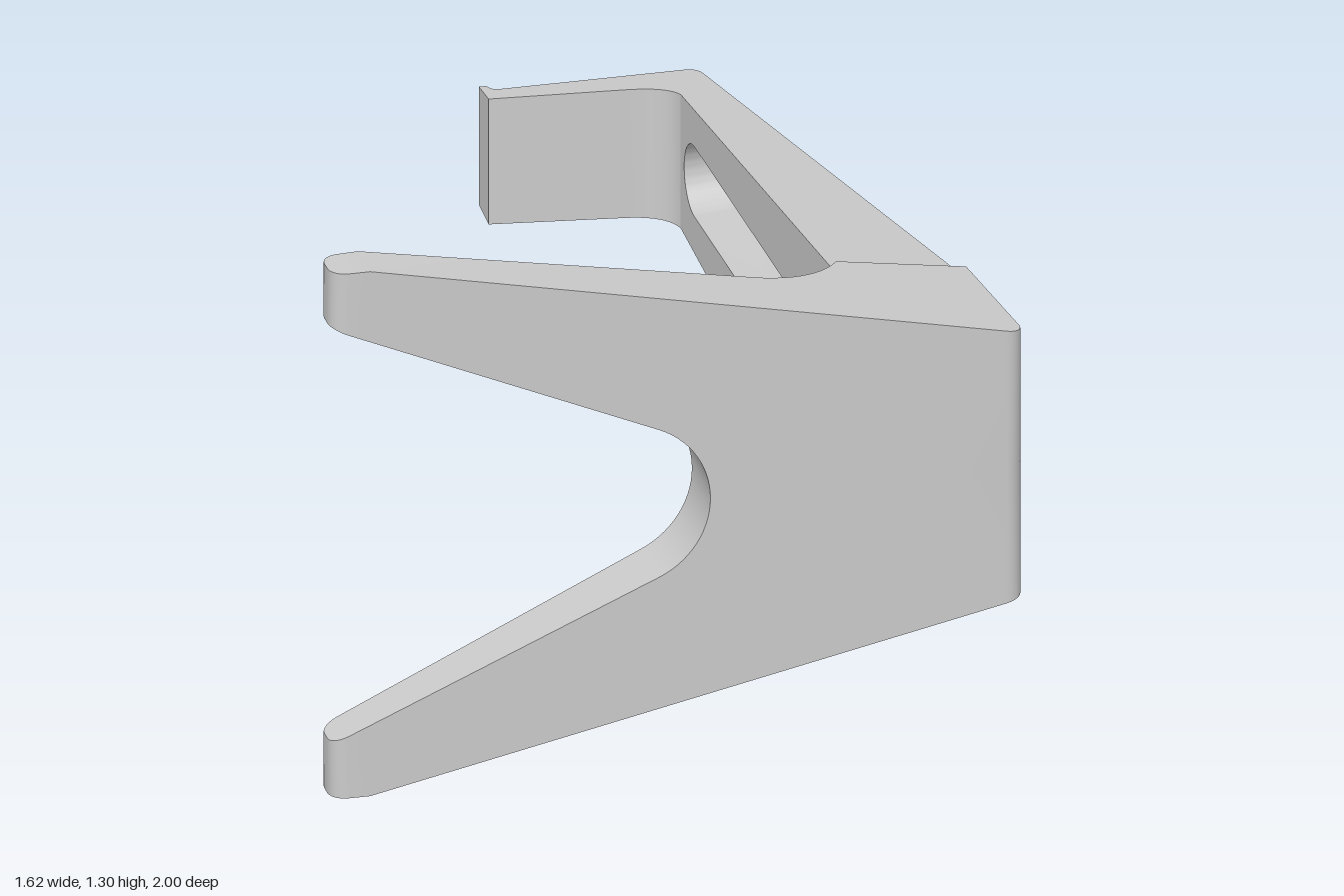
import * as THREE from 'three';
import { toCreasedNormals } from 'three/addons/utils/BufferGeometryUtils.js';

const MID = 0.6525; // height of the horizontal symmetry plane
const { sqrt, sin, cos, PI, max } = Math;

// Arm surfaces as functions of z
const outerX = z => 0.765 - (0.635 - z) * 0.139;
const innerX = z => 0.493 - (0.53 - z) * 0.0229;
const armHalf = z => 0.3105 - (0.635 - z) * 0.1;

// Fork plate limits as functions of x
const R = 0.04, X0 = -0.81, X1 = 0.808;
const round = d => R - sqrt(max(0, R * R - d * d)); // setback of a rounded corner
const endRound = x => x < X0 + R ? round(X0 + R - x) : 0;
const frontZ = x => 1 - endRound(x) - (x > X1 - R ? round(x - X1 + R) : 0);
const FILLET = { x: 0.2, z: 0.53, r: 0.29 };
function backZ(x) {
  if (x <= FILLET.x) return 0.888 - (x + 0.77) * 0.07 + endRound(x);
  if (x <= 0.45) return FILLET.z + sqrt(FILLET.r ** 2 - (x - FILLET.x) ** 2);
  if (x <= 0.765) return 0.677 - (x - 0.45) * 0.133;
  return 0.635 + (x - 0.765) * (0.96 - 0.635) / (X1 - 0.765);
}
const plateHalf = x => 0.6525 - max(0, x + 0.72) * 0.211;

// Notch: straight legs that run into a round throat
const NOTCH = { x: -0.125, r: 0.2, a: 0.41 };
const throatX = NOTCH.x + NOTCH.r;
const tangentX = NOTCH.x + NOTCH.r * sin(NOTCH.a);
function notchHalf(x) {
  if (x >= throatX - 1e-6) return 0;
  if (x > tangentX) return sqrt(NOTCH.r ** 2 - (x - NOTCH.x) ** 2);
  return NOTCH.r * cos(NOTCH.a) + (tangentX - x) * 0.435;
}

function forkPlateGeometry() {
  const xs = [-0.72, FILLET.x, 0.45, 0.765];
  for (let i = 0; i <= 6; i++) {
    const c = R * (1 - cos(i / 6 * PI / 2));
    xs.push(X0 + c, X1 - c);
  }
  for (let i = 0; i <= 14; i++) {
    xs.push(NOTCH.x + NOTCH.r * sin(NOTCH.a + (PI / 2 - NOTCH.a) * i / 14));
  }
  for (let i = 1; i < 12; i++) {
    xs.push(FILLET.x + FILLET.r * sin(i / 12 * 1.039));
  }
  xs.sort((a, b) => a - b);
  const pos = [];
  for (const s of [1, -1]) {
    // Four-cornered section at each x, for the upper then the lower half
    const rings = xs.map(x => {
      const lo = MID + s * notchHalf(x), hi = MID + s * plateHalf(x);
      const b = backZ(x), f = frontZ(x);
      return [[x, lo, b], [x, lo, f], [x, hi, f], [x, hi, b]];
    });
    const quad = (a, b, c, d) => {
      const order = s > 0 ? [a, b, c, a, c, d] : [a, c, b, a, d, c];
      order.forEach(p => pos.push(...p));
    };
    for (let i = 0; i + 1 < rings.length; i++) {
      const a = rings[i], b = rings[i + 1];
      if (b[0][0] - a[0][0] < 1e-6) continue;
      for (let k = 0; k < 4; k++) {
        if (k === 0 && notchHalf(a[0][0]) === 0) continue; // halves join here
        const n = (k + 1) % 4;
        quad(a[k], b[k], b[n], a[n]);
      }
    }
    quad(...rings[0]);
    quad(...rings[rings.length - 1].slice().reverse());
  }
  const g = new THREE.BufferGeometry();
  g.setAttribute('position', new THREE.Float32BufferAttribute(pos, 3));
  return g;
}

// Plan outline (x, -z) raised to the tapering height of the arm
function taperedPlan(shape) {
  const g = new THREE.ExtrudeGeometry(shape, { depth: 1, bevelEnabled: false, curveSegments: 10 });
  g.rotateX(-PI / 2);
  const p = g.attributes.position;
  for (let i = 0; i < p.count; i++) {
    p.setY(i, MID + (p.getY(i) - 0.5) * 2 * armHalf(p.getZ(i)));
  }
  return g;
}

const PANEL_FRONT = 0.53, PANEL_BACK = -0.805;

// Slotted straight stretch of the arm
function panelGeometry() {
  const f = PANEL_FRONT, b = PANEL_BACK;
  const s = new THREE.Shape();
  s.moveTo(-f, MID - armHalf(f));
  s.lineTo(-b, MID - armHalf(b));
  s.lineTo(-b, MID + armHalf(b));
  s.lineTo(-f, MID + armHalf(f));
  s.closePath();
  const r = 0.087;
  const slot = new THREE.Path();
  slot.absarc(-0.22 + r, MID, r, PI / 2, PI * 1.5, false);
  slot.absarc(0.79 - r, MID, r, -PI / 2, PI / 2, false);
  slot.closePath();
  s.holes.push(slot);
  const g = new THREE.ExtrudeGeometry(s, { depth: 1, bevelEnabled: false, curveSegments: 20 });
  g.rotateY(PI / 2);
  const p = g.attributes.position;
  for (let i = 0; i < p.count; i++) {
    const z = p.getZ(i);
    const outside = p.getX(i) > 0.5;
    const inSlot = Math.abs(p.getY(i) - MID) < 0.1;
    const zz = inSlot && !outside ? z + 0.014 : z; // slot runs square to the outer face
    p.setXYZ(i, outside ? outerX(zz) : innerX(zz), p.getY(i), zz);
  }
  return g;
}

function rootGeometry() {
  const s = new THREE.Shape();
  s.moveTo(innerX(PANEL_FRONT), -PANEL_FRONT);
  s.lineTo(0.49, -PANEL_FRONT);
  for (let i = 1; i <= 6; i++) {
    const a = i / 6 * 0.531;
    s.lineTo(FILLET.x + FILLET.r * cos(a), -FILLET.z - FILLET.r * sin(a));
  }
  s.lineTo(0.765, -0.635);
  s.lineTo(outerX(PANEL_FRONT), -PANEL_FRONT);
  s.closePath();
  return taperedPlan(s);
}

function hookGeometry() {
  const s = new THREE.Shape();
  const b = PANEL_BACK;
  s.moveTo(innerX(b), -b);
  s.lineTo(outerX(b), -b);
  s.lineTo(0.547, 0.935);
  s.quadraticCurveTo(0.542, 0.97, 0.51, 0.97);
  s.lineTo(0.08, 0.97);
  s.quadraticCurveTo(0.06, 0.972, 0.058, 1);
  s.lineTo(0.04, 1);
  s.lineTo(0.04, 0.91);
  s.lineTo(0.35, 0.876);
  s.quadraticCurveTo(0.445, 0.865, innerX(b), -b);
  return taperedPlan(s);
}

export function createModel() {
  const group = new THREE.Group();
  group.name = 'forkedBracket';
  const material = new THREE.MeshStandardMaterial({ color: 0xcccccc });
  const parts = {
    forkPlate: forkPlateGeometry(),
    armRoot: rootGeometry(),
    slottedArm: panelGeometry(),
    endHook: hookGeometry(),
  };
  for (const [name, geometry] of Object.entries(parts)) {
    const mesh = new THREE.Mesh(toCreasedNormals(geometry, 0.5), material);
    mesh.name = name;
    group.add(mesh);
  }
  return group;
}
